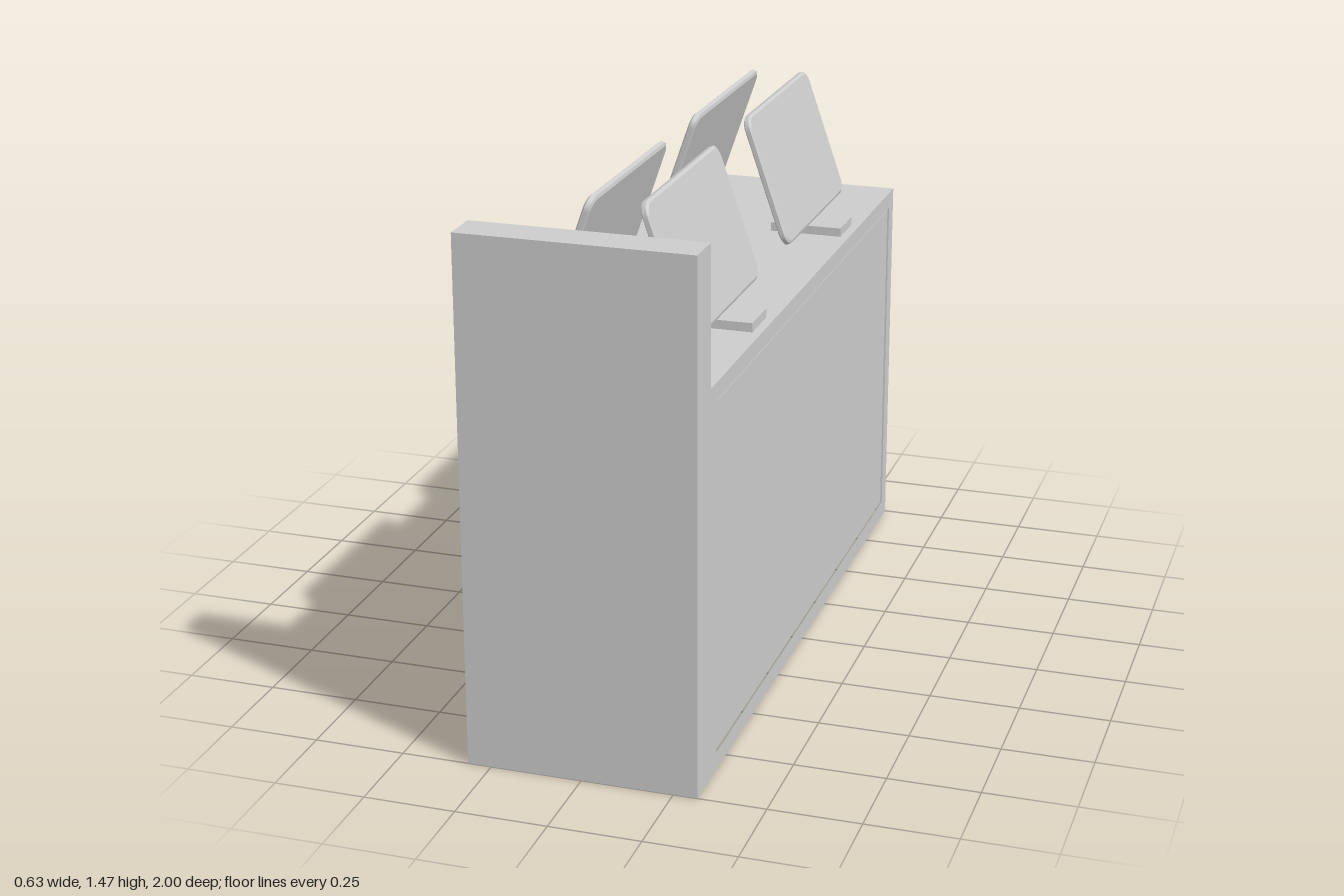
import * as THREE from 'three';

const solid = new THREE.MeshStandardMaterial({ color: 0xcccccc, flatShading: true });
const sheet = new THREE.MeshStandardMaterial({ color: 0xcccccc, flatShading: true, side: THREE.DoubleSide });

const HALF = 0.315, TOP = 1.075, TALL = 1.45, STEP = 0.89;

function add(parent, name, geometry, material, x = 0, y = 0, z = 0) {
  const mesh = new THREE.Mesh(geometry, material);
  mesh.name = name;
  mesh.position.set(x, y, z);
  parent.add(mesh);
  return mesh;
}

function polygon(points) {
  return new THREE.Shape(points.map(([x, y]) => new THREE.Vector2(x, y)));
}

function roundedRect(w, h, r) {
  const s = new THREE.Shape();
  s.absarc(w / 2 - r, h / 2 - r, r, 0, Math.PI / 2);
  s.absarc(-w / 2 + r, h / 2 - r, r, Math.PI / 2, Math.PI);
  s.absarc(-w / 2 + r, -h / 2 + r, r, Math.PI, Math.PI * 1.5);
  s.absarc(w / 2 - r, -h / 2 + r, r, Math.PI * 1.5, Math.PI * 2);
  s.closePath();
  return s;
}

// Thin-walled counter, open underneath, with a raised panel at the front
function createCounter() {
  const counter = new THREE.Group();
  counter.name = 'counter';

  const upright = (name, y0, y1, z) => add(counter, name,
    new THREE.PlaneGeometry(HALF * 2, y1 - y0), sheet, 0, (y0 + y1) / 2, z);
  const flat = (name, z0, z1, y) => {
    const mesh = add(counter, name, new THREE.PlaneGeometry(HALF * 2, z1 - z0), sheet, 0, y, (z0 + z1) / 2);
    mesh.rotation.x = -Math.PI / 2;
  };
  upright('frontPanel', 0, TALL, 1);
  upright('raisedPanelBack', TOP, TALL, STEP).rotation.y = Math.PI;
  upright('backPanel', 0, TOP, -1).rotation.y = Math.PI;
  flat('worktop', -1, STEP, TOP);
  flat('raisedPanelTop', STEP, 1, TALL);

  // Sides with a rectangular opening; shape x runs along -z
  const outline = polygon([[-1, 0], [1, 0], [1, TOP], [-STEP, TOP], [-STEP, TALL], [-1, TALL]]);
  outline.holes.push(polygon([[-0.84, 0.05], [-0.84, 1.028], [0.95, 1.028], [0.95, 0.05]]));
  for (const side of [1, -1]) {
    const wall = add(counter, side > 0 ? 'leftSide' : 'rightSide',
      new THREE.ShapeGeometry(outline), sheet, side * HALF);
    wall.rotation.y = Math.PI / 2;
    // Cabinet filling the opening, slightly inset with a gap on top
    add(counter, side > 0 ? 'leftCabinet' : 'rightCabinet',
      new THREE.BoxGeometry(0.3, 0.97, 1.79), solid, side * 0.16, 0.535, -0.055);
  }
  return counter;
}

// Tilted screen on a wedge neck and flat foot, facing +x
function createMonitor() {
  const monitor = new THREE.Group();
  monitor.name = 'monitor';

  const b = 0.008;
  const panel = new THREE.ExtrudeGeometry(roundedRect(0.62 - 2 * b, 0.385 - 2 * b, 0.03), {
    depth: 0.012, bevelEnabled: true, bevelSize: b, bevelThickness: 0.005, bevelSegments: 1, curveSegments: 5,
  });
  panel.translate(0, 0, -0.006);
  panel.rotateY(Math.PI / 2);
  add(monitor, 'screen', panel, solid, 0.132, 1.288, 0).rotation.z = 0.332;

  const neck = new THREE.ExtrudeGeometry(
    polygon([[0.085, 1.09], [0.19, 1.09], [0.15, 1.2], [0.118, 1.2]]),
    { depth: 0.11, bevelEnabled: false });
  add(monitor, 'neck', neck, solid, 0, 0, -0.055);
  add(monitor, 'foot', new THREE.BoxGeometry(0.21, 0.025, 0.13), solid, 0.185, TOP + 0.0125, 0);
  return monitor;
}

export function createModel() {
  const model = new THREE.Group();
  model.name = 'checkoutCounter';
  model.add(createCounter());

  // Two monitors along each side, back to back
  for (const [side, z] of [[1, 0.382], [1, -0.518], [-1, 0.375], [-1, -0.5]]) {
    const monitor = createMonitor();
    monitor.position.z = z;
    if (side < 0) monitor.rotation.y = Math.PI;
    model.add(monitor);
  }
  return model;
}
